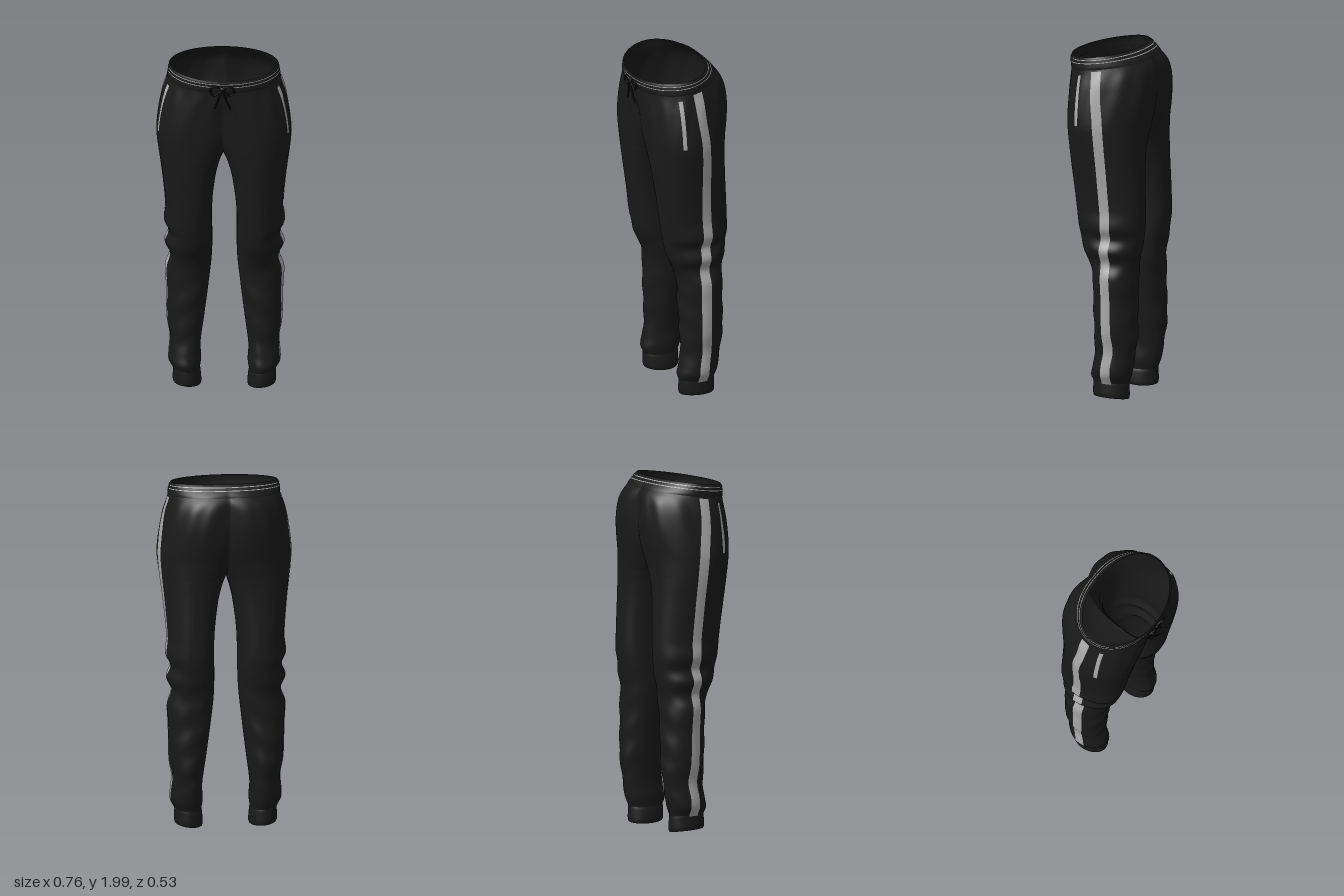
import * as THREE from 'three';
import { mergeVertices } from 'three/addons/utils/BufferGeometryUtils.js';

const fabric = new THREE.MeshStandardMaterial({ color: 0x1a1a1a, side: THREE.DoubleSide });
fabric.name = 'black fabric';
const trim = new THREE.MeshStandardMaterial({ color: 0xa8a8a8, side: THREE.DoubleSide });
trim.name = 'grey trim';
const cord = new THREE.MeshStandardMaterial({ color: 0x111111 });
cord.name = 'black cord';

// Smooth curve through [height, value] knots, highest first
function curve(knots) {
  const k = knots.slice().reverse();
  const slope = (i) => {
    const a = k[Math.max(i - 1, 0)], b = k[Math.min(i + 1, k.length - 1)];
    return (b[1] - a[1]) / (b[0] - a[0]);
  };
  return (y) => {
    let i = 0;
    while (i < k.length - 2 && y > k[i + 1][0]) i++;
    const h = k[i + 1][0] - k[i][0];
    const t = THREE.MathUtils.clamp((y - k[i][0]) / h, 0, 1), t2 = t * t, t3 = t2 * t;
    return k[i][1] * (2 * t3 - 3 * t2 + 1) + k[i + 1][1] * (3 * t2 - 2 * t3)
      + h * (slope(i) * (t3 - 2 * t2 + t) + slope(i + 1) * (t3 - t2));
  };
}

// Outlines of one trouser half, by height
const outer = curve([[1.98, 0.3], [1.91, 0.314], [1.8, 0.345], [1.6, 0.376], [1.5, 0.371], [1.3, 0.345],
  [1.1, 0.328], [1.0, 0.335], [0.94, 0.31], [0.87, 0.333], [0.8, 0.305], [0.72, 0.33], [0.6, 0.325],
  [0.4, 0.32], [0.3, 0.304], [0.16, 0.311], [0.1, 0.284], [0.02, 0.285]]);
const inner = curve([[1.98, -0.3], [1.9, -0.26], [1.75, -0.14], [1.6, -0.08], [1.5, -0.025], [1.45, 0],
  [1.4, 0.02], [1.3, 0.045], [1.1, 0.068], [0.8, 0.07], [0.6, 0.09], [0.4, 0.115], [0.25, 0.134],
  [0.16, 0.13], [0.1, 0.138], [0.02, 0.132]]);
const front = curve([[1.98, 0.245], [1.9, 0.236], [1.6, 0.215], [1.4, 0.195], [1.2, 0.17], [1.0, 0.145],
  [0.9, 0.125], [0.8, 0.088], [0.72, 0.058], [0.6, 0.055], [0.3, 0.045], [0.2, 0.056], [0.14, 0.068],
  [0.1, 0.052], [0.02, 0.052]]);
const back = curve([[1.98, -0.155], [1.95, -0.182], [1.92, -0.208], [1.88, -0.238], [1.83, -0.256],
  [1.75, -0.265], [1.65, -0.255], [1.55, -0.236], [1.4, -0.225], [1.0, -0.235], [0.8, -0.205],
  [0.7, -0.198], [0.4, -0.205], [0.3, -0.195], [0.16, -0.17], [0.1, -0.15], [0.02, -0.15]]);
const peakFront = curve([[1.98, 0], [1.9, 0.03], [1.75, 0.11], [1.6, 0.17], [1.4, 0.195], [1.0, 0.2], [0.02, 0.21]]);
const peakBack = curve([[1.98, 0], [1.92, 0.05], [1.85, 0.1], [1.75, 0.12], [1.6, 0.14], [1.4, 0.185], [1.0, 0.2], [0.02, 0.21]]);
const middle = curve([[1.98, 0.02], [1.9, 0.03], [1.6, 0.035], [1.4, 0], [1.1, -0.045], [0.72, -0.085],
  [0.5, -0.075], [0.1, -0.05], [0.02, -0.05]]);
// Below 1 the inner thigh is squarer than an ellipse
const inside = curve([[1.98, 1], [1.78, 1], [1.6, 0.76], [1.3, 0.7], [1.0, 0.72], [0.8, 0.82], [0.4, 1], [0.02, 1]]);

// Angle at which the half meets the centre plane (PI where the leg is closed)
function seamAngle(v, isFront, off) {
  if (inner(v) > 0) return Math.PI;
  const c = (isFront ? peakFront : peakBack)(v);
  return Math.acos(-Math.pow(Math.min(c / (c - inner(v) + off), 1), 1 / inside(v)));
}

// Point on the +x half at height v and angle a (0 outside, PI/2 front)
function point(v, a, off = 0) {
  const isFront = a >= 0, t = Math.abs(a);
  const c = (isFront ? peakFront : peakBack)(v);
  const { smoothstep } = THREE.MathUtils;
  const folds = 0.0025 * Math.sin(a * 13 + v * 9) * smoothstep(v, 1.55, 1.8) * (1 - smoothstep(v, 1.84, 1.91))
    + 0.003 * Math.sin(v * 38 + Math.cos(a) * 2.5) * smoothstep(v, 0.15, 0.3)
    * (1 - smoothstep(v, 0.75, 1.05)) * Math.sin(a) ** 2;
  const o = off + folds, m = middle(v), cos = Math.cos(t);
  const e = cos < 0 ? inside(v) : 1;
  const onSeam = inner(v) <= 0 && t >= seamAngle(v, isFront, off);
  const x = onSeam ? 0 : cos > 0 ? c + (outer(v) + o - c) * cos
    : Math.max(c - (c - inner(v) + o) * Math.pow(-cos, e), 0);
  const z = m + Math.pow(Math.max(Math.sin(t), 0), e) * (isFront ? front(v) + o - m : back(v) - o - m);
  const waistTilt = -0.13 * z * smoothstep(v, 1.65, 1.91);
  const hemTilt = (0.1 * (x - 0.21) + 0.05 * (z + 0.05)) * (1 - smoothstep(v, 0.03, 0.2));
  return [x, v + waistTilt + hemTilt, z];
}

// Mirrored pair of grids; place(i, j) gives a point of the +x side
function mirroredGrid(rows, cols, place) {
  const pos = [], idx = [];
  for (const s of [1, -1]) {
    const base = pos.length / 3;
    for (let i = 0; i <= rows; i++) for (let j = 0; j <= cols; j++) {
      const p = place(i / rows, j / cols);
      pos.push(s * p[0], p[1], p[2]);
    }
    const tri = (a, b, c) => (s > 0 ? idx.push(a, b, c) : idx.push(a, c, b));
    for (let i = 0; i < rows; i++) for (let j = 0; j < cols; j++) {
      const a = base + i * (cols + 1) + j, c = a + cols + 1;
      tri(a, c, a + 1);
      tri(a + 1, c, c + 1);
    }
  }
  let g = new THREE.BufferGeometry();
  g.setAttribute('position', new THREE.Float32BufferAttribute(pos, 3));
  g.setIndex(idx);
  g = mergeVertices(g, 1e-5);
  g.computeVertexNormals();
  return g;
}

// Band all round both halves between two heights
const shell = (v0, v1, rows, off = () => 0) => mirroredGrid(rows, 96, (t, u) => {
  const v = v0 + (v1 - v0) * t, turn = 2 * u - 1;
  return point(v, turn * seamAngle(v, turn >= 0, off(t)), off(t));
});

// Flat strip lying on the outside of each leg, centred on z = mid(v)
const strip = (v0, v1, rows, mid, width) => mirroredGrid(rows, 6, (t, u) => {
  const v = v0 + (v1 - v0) * t, m = middle(v), z = mid(v) + (u - 0.5) * width;
  const reach = z >= m ? front(v) - m : m - back(v);
  return point(v, Math.asin(THREE.MathUtils.clamp((z - m) / reach, -1, 1)), 0.003);
});

export function createModel() {
  const group = new THREE.Group();
  const add = (name, geometry, material) => {
    const mesh = new THREE.Mesh(geometry, material);
    mesh.name = name;
    group.add(mesh);
  };

  // Trousers, waistband and cuffs; one row of the body falls on the crotch at 1.45
  add('trouserBody', shell(0.1, 1.93, 122), fabric);
  const puff = (t) => 0.006 * Math.pow(Math.max(Math.sin(Math.PI * t), 0), 0.4);
  add('waistband', shell(1.908, 1.98, 10, puff), fabric);
  add('cuffs', shell(0.02, 0.108, 10, puff), fabric);

  // Thin piping lines round the waistband
  for (const v of [1.946, 1.964]) add('waistPiping', shell(v - 0.002, v + 0.002, 1, () => 0.0075), trim);

  // Side stripes and pocket edges
  const stripeMid = curve([[1.9, 0], [1.75, -0.01], [1.6, -0.027], [1.2, -0.048], [1.0, -0.058], [0.87, -0.05],
    [0.6, -0.057], [0.4, -0.06], [0.3, -0.067], [0.2, -0.052], [0.1, -0.05]]);
  add('sideStripes', strip(0.1, 1.9, 110, stripeMid, 0.056), trim);
  add('pocketEdges', strip(1.59, 1.88, 24, () => 0.102, 0.02), trim);

  // Drawstring bow: loops, hanging ends and knot
  const string = (name, pts) => add(name, new THREE.TubeGeometry(
    new THREE.CatmullRomCurve3(pts.map((p) => new THREE.Vector3(...p))), 28, 0.005, 8), cord);
  for (const s of [1, -1]) {
    string('bowLoop', [[0, 1.905, 0.252], [s * 0.03, 1.921, 0.257], [s * 0.06, 1.915, 0.256],
      [s * 0.064, 1.885, 0.254], [s * 0.045, 1.868, 0.252], [s * 0.02, 1.885, 0.254], [0, 1.903, 0.254]]);
    string('stringEnd', [[0, 1.903, 0.254], [s * 0.013, 1.87, 0.257], [s * 0.026, 1.83, 0.253], [s * 0.045, 1.785, 0.248]]);
  }
  const knot = new THREE.SphereGeometry(0.013, 14, 10);
  knot.scale(1.2, 0.9, 0.7);
  knot.translate(0, 1.906, 0.255);
  add('bowKnot', knot, cord);

  return group;
}
